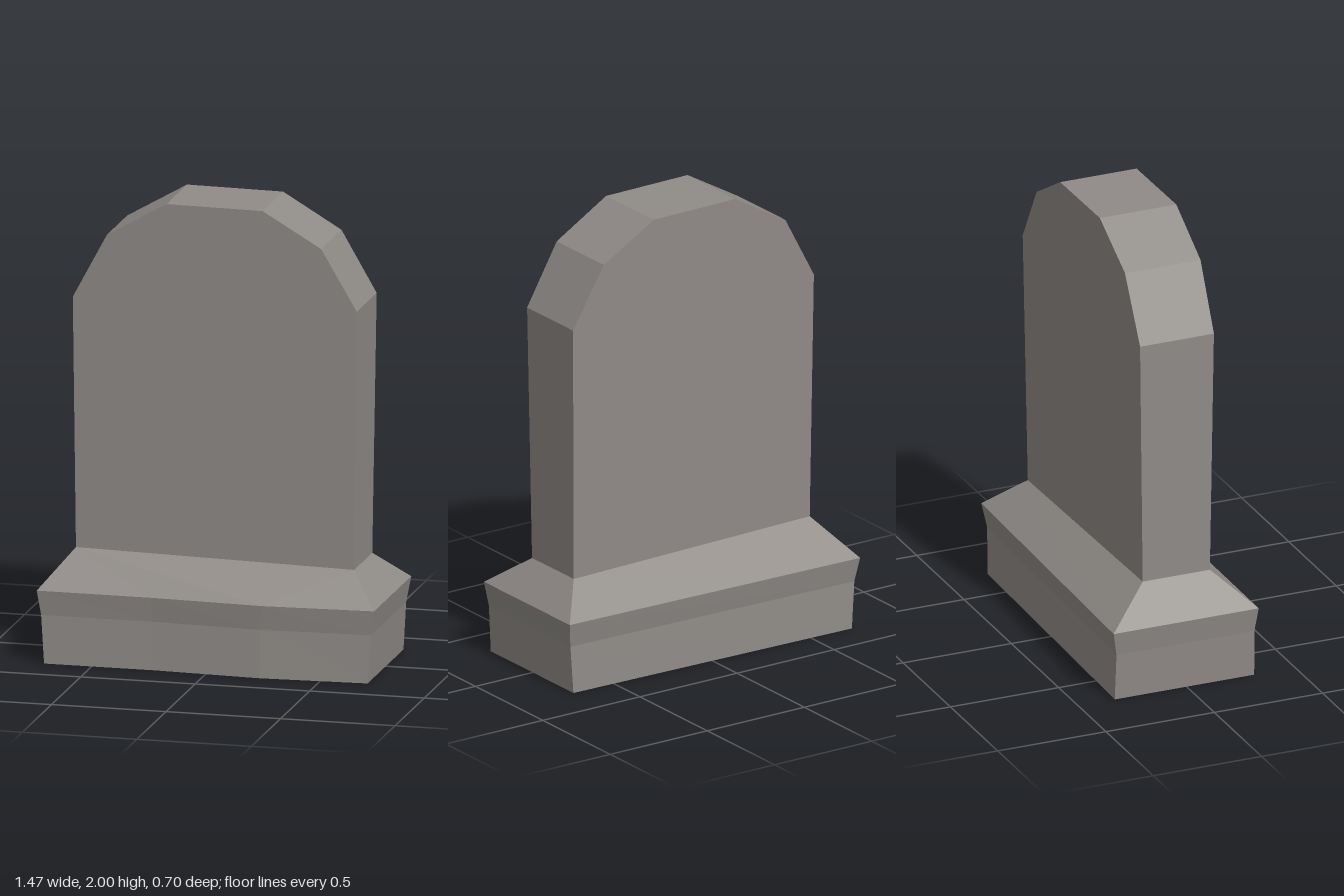
import * as THREE from 'three';

// Flat-shaded geometry from convex polygons, corners counter-clockwise from outside
function facets(polygons) {
  const pos = [];
  for (const poly of polygons) {
    const p = poly.map(c => new THREE.Vector3(...c));
    for (let i = 1; i < p.length - 1; i++) {
      const tri = new THREE.Triangle(p[0], p[i], p[i + 1]);
      if (tri.getArea() < 1e-6) continue; // collapsed corner
      for (const v of [p[0], p[i], p[i + 1]]) pos.push(v.x, v.y, v.z);
    }
  }
  const geo = new THREE.BufferGeometry();
  geo.setAttribute('position', new THREE.Float32BufferAttribute(pos, 3));
  geo.computeVertexNormals();
  return geo;
}

// Quads joining two loops of equal length
function band(lower, upper, closed = true) {
  const n = lower.length, out = [];
  for (let i = 0; i < (closed ? n : n - 1); i++) {
    const j = (i + 1) % n;
    out.push([lower[j], upper[j], upper[i], lower[i]]);
  }
  return out;
}

export function createModel() {
  const stone = new THREE.MeshStandardMaterial({ color: 0x908b87, flatShading: true });
  stone.name = 'grey stone';
  const group = new THREE.Group();
  group.name = 'headstone';
  const add = (name, polygons) => {
    const mesh = new THREE.Mesh(facets(polygons), stone);
    mesh.name = name;
    group.add(mesh);
  };

  // Slab outline from lower right, over the arch, to lower left
  const outline = [
    [0.605, 0.45], [0.62, 1.58], [0.465, 1.845], [0.21, 1.995],
    [-0.21, 2], [-0.47, 1.85], [-0.62, 1.57], [-0.61, 0.475],
  ];
  // The slab thickens slightly towards the top
  const front = outline.map(([x, y]) => [x, y, 0.144 + 0.013 * y]);
  const back = outline.map(([x, y]) => [x, y, -0.153 - 0.015 * y]);
  add('slab', [front, [...back].reverse(), ...band(back, front, false)]);

  // Plinth loops: four points along the uneven front, two along the back
  const foot = [
    [-0.708, 0, 0.312], [-0.23, 0, 0.312], [0.24, 0, 0.337],
    [0.705, 0, 0.312], [0.705, 0, -0.302], [-0.708, 0, -0.332],
  ];
  const waist = [
    [-0.722, 0.21, 0.307], [-0.235, 0.21, 0.307], [0.24, 0.21, 0.332],
    [0.718, 0.21, 0.307], [0.718, 0.21, -0.298], [-0.722, 0.21, -0.33],
  ];
  const lip = [
    [-0.738, 0.318, 0.32], [-0.24, 0.318, 0.322], [0.25, 0.318, 0.347],
    [0.735, 0.318, 0.32], [0.735, 0.318, -0.318], [-0.738, 0.318, -0.35],
  ];
  // The slope closes onto the four lower corners of the slab
  const fl = front[7], fr = front[0], br = back[0], bl = back[7];
  const neck = [fl, fl, fr, fr, br, bl];

  add('plinth', [[...foot].reverse(), ...band(foot, waist), ...band(waist, lip)]);
  add('plinthSlope', band(lip, neck));
  return group;
}
